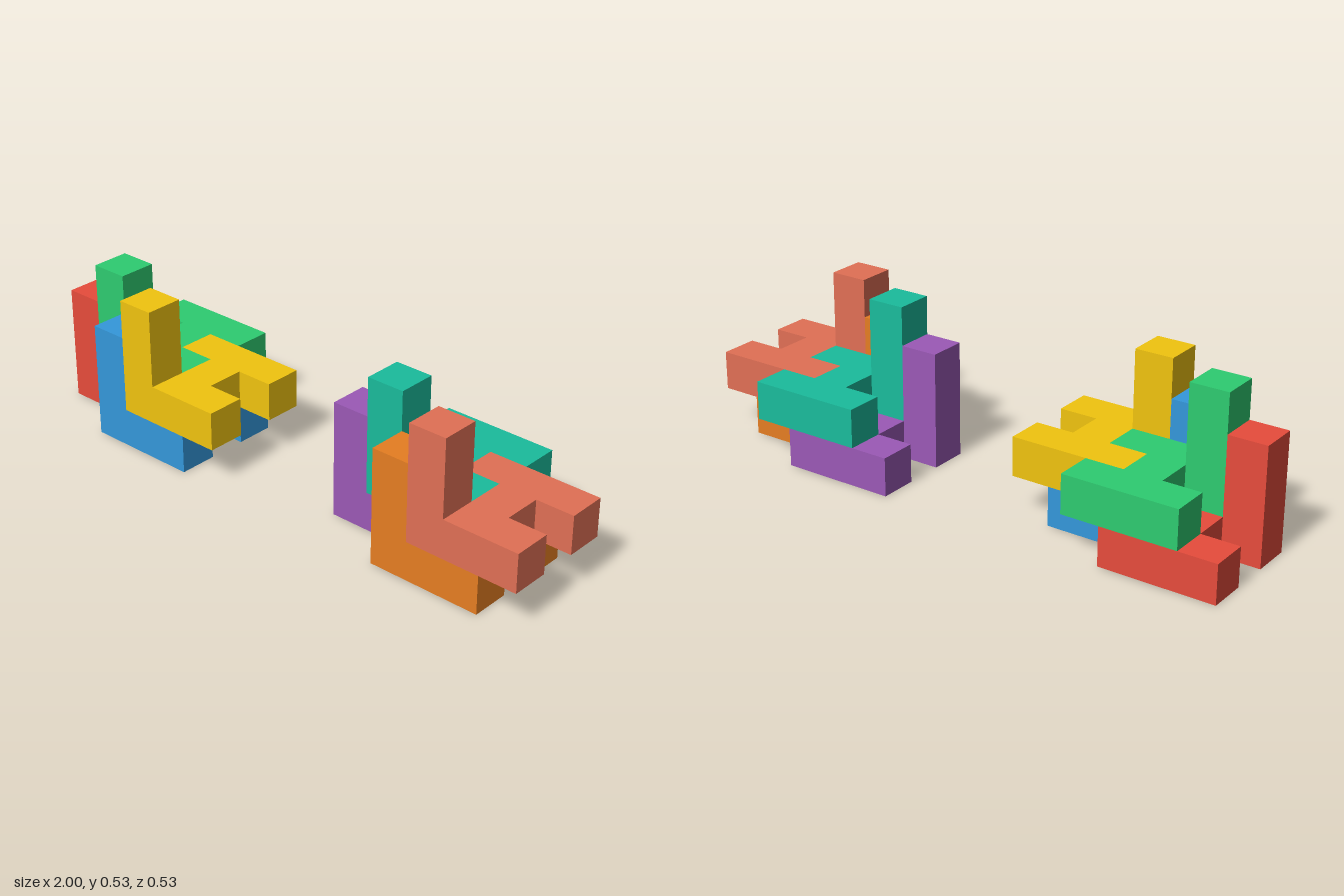
import * as THREE from 'three';

const U = 2 / 15; // edge of one cube cell

// H-shaped slab, three cells square and one cell thick, with its corner at the origin
function slabGeometry() {
  const outline = [
    [0, 0], [3, 0], [3, 1], [2, 1], [2, 2], [3, 2],
    [3, 3], [0, 3], [0, 2], [1, 2], [1, 1], [0, 1],
  ].map(([x, z]) => new THREE.Vector2(x * U, -z * U));
  return new THREE.ExtrudeGeometry(new THREE.Shape(outline), { depth: U, bevelEnabled: false })
    .rotateX(-Math.PI / 2);
}

// Post, two cells tall, standing on the slab's front left-hand cell
function postGeometry() {
  return new THREE.BoxGeometry(U, 2 * U, U).translate(0.5 * U, 2 * U, 2.5 * U);
}

export function createModel() {
  const model = new THREE.Group();
  const slab = slabGeometry();
  const post = postGeometry();

  // Cell position of each piece inside a cluster
  const places = [
    ['lowerBackPiece', 0, 0, 0],
    ['lowerFrontPiece', 2, 0, 1],
    ['upperBackPiece', 1, 1, 0],
    ['upperFrontPiece', 3, 1, 1],
  ];
  const clusters = [
    ['rightCluster', -1, [0xe74c3c, 0x3498db, 0x2ecc71, 0xf1c40f]],
    ['leftCluster', 0.2, [0x9b59b6, 0xe67e22, 0x1abc9c, 0xe17055]],
  ];

  for (const [clusterName, x, colors] of clusters) {
    const cluster = new THREE.Group();
    cluster.name = clusterName;
    cluster.position.set(x, 0, -2 * U);
    places.forEach(([name, i, j, k], n) => {
      const material = new THREE.MeshStandardMaterial({ color: colors[n] });
      const piece = new THREE.Group();
      piece.name = name;
      piece.position.set(i * U, j * U, k * U);
      for (const [part, geometry] of [['slab', slab], ['post', post]]) {
        const mesh = new THREE.Mesh(geometry, material);
        mesh.name = part;
        piece.add(mesh);
      }
      cluster.add(piece);
    });
    model.add(cluster);
  }
  return model;
}
